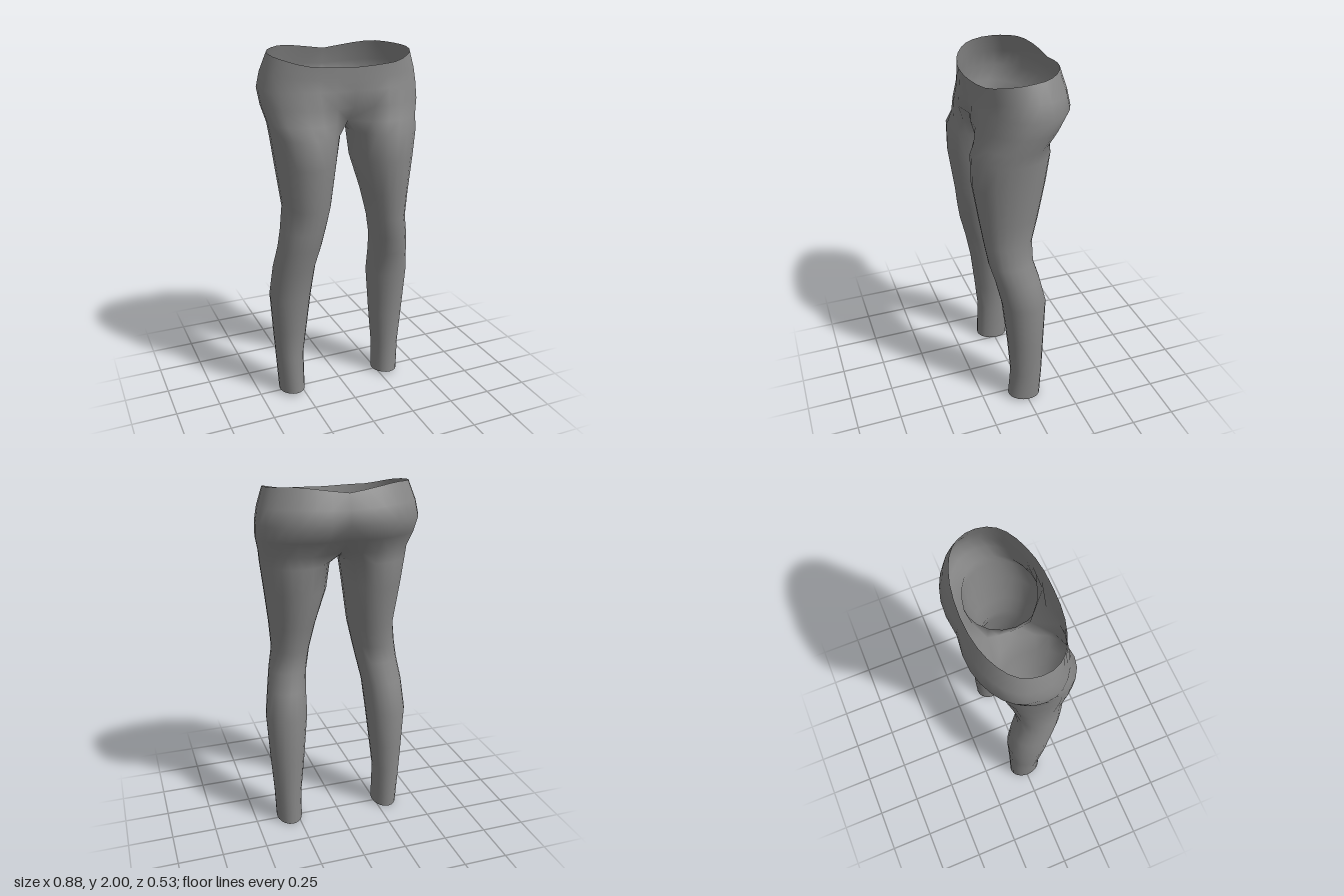
import * as THREE from 'three';
import { mergeVertices } from 'three/addons/utils/BufferGeometryUtils.js';

const OUTER = 16; // segments from front centre round the hip to back centre
const INNER = 4;  // segments along the crotch / inner thigh

// Hip rows: y, half width, front z, back z, front centre dent, back centre dent, waist tilt
const HIPS = [
  [0, 0.39, 0.235, -0.215, 0, 0, 1],
  [1.88, 0.425, 0.232, -0.25, 0, 0.012, 0.35],
  [1.805, 0.441, 0.237, -0.27, 0.01, 0.025, 0],
  [1.72, 0.435, 0.257, -0.222, 0.045, 0.03, 0],
  [1.635, 0.415, 0.27, -0.165, 0.14, 0.07, 0],
];

// Leg rings: y, inner x, outer x, front z, back z
const LEFT_LEG = [
  [1.57, 0.028, 0.407, 0.272, -0.138],
  [1.42, 0.046, 0.388, 0.272, -0.12],
  [1.22, 0.108, 0.365, 0.245, -0.078],
  [1.07, 0.142, 0.354, 0.222, -0.042],
  [0.95, 0.162, 0.375, 0.203, -0.042],
  [0.84, 0.175, 0.394, 0.172, -0.075],
  [0.69, 0.179, 0.416, 0.138, -0.11],
  [0.42, 0.203, 0.401, 0.108, -0.102],
  [0.2, 0.226, 0.385, 0.09, -0.097],
  [0.01, 0.226, 0.375, 0.102, -0.09],
];
const RIGHT_LEG = [
  [1.57, 0.036, 0.407, 0.272, -0.138],
  [1.42, 0.062, 0.388, 0.272, -0.12],
  [1.18, 0.095, 0.357, 0.238, -0.07],
  [1.05, 0.125, 0.374, 0.22, -0.042],
  [0.95, 0.147, 0.388, 0.203, -0.042],
  [0.82, 0.172, 0.407, 0.168, -0.08],
  [0.64, 0.188, 0.423, 0.132, -0.109],
  [0.42, 0.214, 0.408, 0.108, -0.102],
  [0.25, 0.234, 0.395, 0.092, -0.098],
  [0.01, 0.234, 0.381, 0.102, -0.09],
];

// Height of the waist edge, from front centre (t = 0) to back centre (t = 1)
const waistEdge = [[0, 1.925], [0.2, 1.935], [0.35, 1.965], [0.5, 1.982], [0.78, 2], [0.9, 1.985], [1, 1.965]];
function waistY(t) {
  const k = Math.max(1, waistEdge.findIndex((p) => p[0] >= t));
  const [a, b] = [waistEdge[k - 1], waistEdge[k]];
  return THREE.MathUtils.mapLinear(t, a[0], b[0], a[1], b[1]);
}

// Half hip section with a dent towards the centre line
function hipRow([y, width, front, back, dentF, dentB, tilt]) {
  const row = [];
  const mid = (front + back) / 2, depth = (front - back) / 2;
  for (let j = 0; j <= OUTER; j++) {
    const t = j / OUTER, s = Math.sin(Math.PI * t), c = Math.cos(Math.PI * t);
    const x = j % OUTER ? width * s ** 0.88 : 0;
    const near = Math.max(0, 1 - x / 0.22) ** 1.6;
    const z = mid + depth * Math.sign(c) * Math.abs(c) ** 0.88 - near * (c > 0 ? dentF : -dentB);
    row.push([x, tilt === 1 ? waistY(t) : y + tilt * (waistY(t) - 1.965), z]);
  }
  return row;
}

// Closes the lowest hip row into a ring along the crotch
function crotchRing(row) {
  const ring = row.slice(), f = row[0], b = row[OUTER];
  for (let k = 1; k < INNER; k++) {
    const u = k / INNER;
    ring.push([0, b[1] - 0.028 * Math.sin(Math.PI * u), b[2] + (f[2] - b[2]) * u]);
  }
  return ring;
}

// Oval leg section, its inner points lined up with the crotch
function legRing([y, inner, outer, front, back]) {
  const ring = [];
  for (let j = 0; j < OUTER + INNER; j++) {
    const a = Math.PI * (j <= OUTER
      ? -0.28 + (1.56 * j) / OUTER
      : 1.28 + (0.44 * (j - OUTER)) / INNER);
    const x = (inner + outer) / 2 + ((outer - inner) / 2) * Math.sin(a);
    const z = (front + back) / 2 + ((front - back) / 2) * Math.cos(a);
    ring.push([x, y < 0.1 ? y + 0.1 * z : y, z]); // cuffs rise to the front
  }
  return ring;
}

export function createModel() {
  const positions = [], indices = [];

  // Joins neighbouring rows, flipping the faces on the mirrored side
  function loft(rows, closed, side) {
    const n = rows[0].length, start = positions.length / 3;
    rows.flat().forEach(([x, y, z]) => positions.push(x * side, y, z));
    for (let i = 0; i < rows.length - 1; i++) {
      for (let j = 0; j < (closed ? n : n - 1); j++) {
        const a = start + i * n + j, b = start + i * n + ((j + 1) % n);
        const c = a + n, d = b + n;
        if (side > 0) indices.push(a, c, b, b, c, d);
        else indices.push(a, b, c, b, d, c);
      }
    }
  }

  for (const [side, table] of [[1, LEFT_LEG], [-1, RIGHT_LEG]]) {
    const hips = HIPS.map(hipRow);
    loft(hips, false, side);
    loft([crotchRing(hips[hips.length - 1]), ...table.map(legRing)], true, side);
  }

  // Weld the seams so that the cloth shades as one smooth surface
  let geometry = new THREE.BufferGeometry();
  geometry.setAttribute('position', new THREE.Float32BufferAttribute(positions, 3));
  geometry.setIndex(indices);
  geometry = mergeVertices(geometry, 1e-4);
  geometry.computeVertexNormals();

  const cloth = new THREE.MeshStandardMaterial({ color: 0x888888, side: THREE.DoubleSide });
  cloth.name = 'grey cloth';
  const leggings = new THREE.Mesh(geometry, cloth);
  leggings.name = 'leggings';

  const group = new THREE.Group();
  group.name = 'trousers';
  group.add(leggings);
  return group;
}
